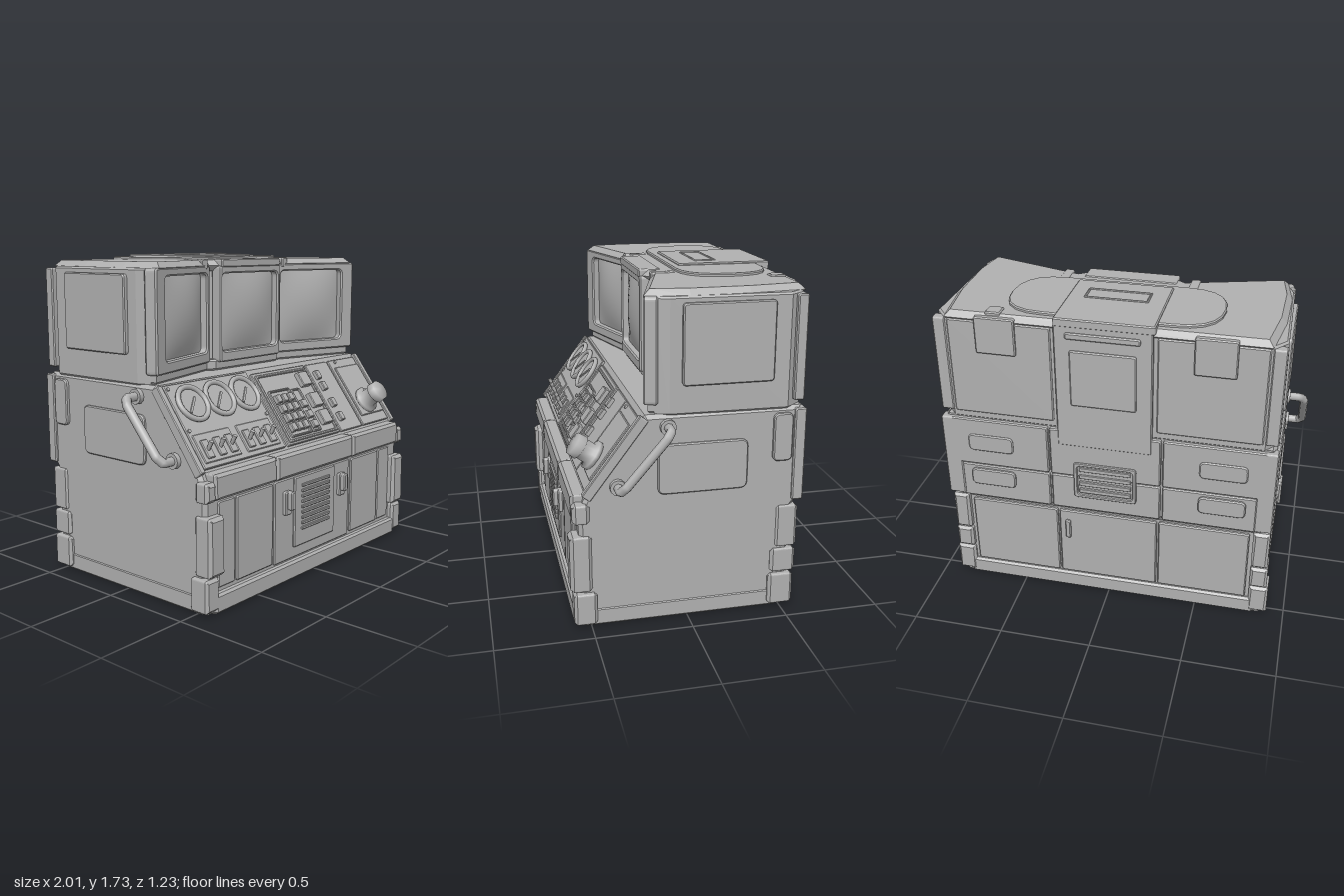
import * as THREE from 'three';

const metal = new THREE.MeshStandardMaterial({ color: 0xb0b0b0 });
metal.name = 'grey metal';

function add(parent, name, geometry) {
  const mesh = new THREE.Mesh(geometry, metal);
  mesh.name = name;
  parent.add(mesh);
  return mesh;
}
function group(parent, name, x = 0, y = 0, z = 0, rx = 0, ry = 0) {
  const g = new THREE.Group();
  g.name = name;
  g.position.set(x, y, z);
  g.rotation.set(rx, ry, 0);
  parent.add(g);
  return g;
}
const polygon = pts => new THREE.Shape(pts.map(p => new THREE.Vector2(p[0], p[1])));

function roundRect(x0, x1, y0, y1, r, Type = THREE.Shape) {
  const s = new Type();
  s.moveTo(x0 + r, y0).lineTo(x1 - r, y0).quadraticCurveTo(x1, y0, x1, y0 + r);
  s.lineTo(x1, y1 - r).quadraticCurveTo(x1, y1, x1 - r, y1);
  s.lineTo(x0 + r, y1).quadraticCurveTo(x0, y1, x0, y1 - r);
  s.lineTo(x0, y0 + r).quadraticCurveTo(x0, y0, x0 + r, y0);
  return s;
}
// Extrudes a shape from z0 to z1 with a chamfer that stays inside the outline
function slab(shape, z0, z1, b) {
  return new THREE.ExtrudeGeometry(shape, {
    depth: z1 - z0 - 2 * b, bevelEnabled: b > 0, bevelThickness: b, bevelSize: b,
    bevelOffset: -b, bevelSegments: 1, curveSegments: 5,
  }).translate(0, 0, z0 + b);
}
function plate(parent, name, xa, xb, y0, y1, z0, z1, r = 0.012, b = 0.006) {
  return add(parent, name, slab(roundRect(Math.min(xa, xb), Math.max(xa, xb), y0, y1, r), z0, z1, b));
}
function frame(parent, name, x0, x1, y0, y1, z0, z1, w, r = 0.02) {
  const s = roundRect(x0, x1, y0, y1, r);
  s.holes.push(roundRect(x0 + w, x1 - w, y0 + w, y1 - w, r, THREE.Path));
  return add(parent, name, slab(s, z0, z1, 0.004));
}
// Horizontal slab from a plan of [x, z] points
function planSlab(parent, name, pts, y0, y1, b) {
  return add(parent, name, slab(polygon(pts.map(([x, z]) => [x, -z])), y0, y1, b).rotateX(-Math.PI / 2));
}
const mirrored = half => [...half, ...half.map(([x, z]) => [-x, z]).reverse()];

// Curved screen in a deep bezel, front of the bezel at local z = 0
function monitor(parent, name, x, z, turn, halfW, holeX, holeW) {
  const g = group(parent, name, x, 1.415, z, 0, turn);
  const s = roundRect(-halfW, halfW, -0.27, 0.255, 0.02);
  s.holes.push(roundRect(holeX - holeW, holeX + holeW, -0.21, 0.212, 0.03, THREE.Path));
  add(g, 'bezel', slab(s, -0.07, 0, 0.008));
  const screen = new THREE.PlaneGeometry(holeW * 2, 0.43, 12, 12), p = screen.attributes.position;
  for (let i = 0; i < p.count; i++) {
    const u = p.getX(i) / holeW, v = p.getY(i) / 0.215;
    p.setZ(i, 0.04 * (1 - u * u) * (1 - v * v) - 0.042);
  }
  screen.computeVertexNormals();
  add(g, 'screen', screen.translate(holeX, 0, 0));
}

function buildCabinet(root) {
  const g = group(root, 'cabinet');
  // Side profile as [z, y], extruded across the width
  const profile = [[-0.54, 0], [0.55, 0], [0.555, 0.62], [0.52, 0.7], [0.22, 1.1], [-0.575, 1.1], [-0.575, 0.6], [-0.54, 0.55]];
  add(g, 'cabinetBody', slab(polygon(profile.map(([z, y]) => [-z, y])), -0.88, 0.88, 0.02).rotateY(Math.PI / 2));
  planSlab(g, 'plinth', mirrored([[0.82, 0.585], [0.885, 0.53], [0.885, -0.48], [0.82, -0.56]]), 0, 0.1, 0.012);
  // Front lip in three lengths
  for (const [a, b] of [[-0.84, -0.36], [-0.355, 0.345], [0.35, 0.84]]) plate(g, 'frontLip', a, b, 0.575, 0.705, 0.48, 0.588, 0.01, 0.015);
  // Front doors and vent
  plate(g, 'centreDoor', -0.35, 0.345, 0.11, 0.565, 0.53, 0.562);
  plate(g, 'ventPanel', -0.19, 0.185, 0.17, 0.56, 0.55, 0.574);
  for (let i = 0; i < 9; i++) plate(g, 'ventSlat', -0.13, 0.125, 0.26 + i * 0.03, 0.275 + i * 0.03, 0.565, 0.585, 0.003, 0.003);
  for (const s of [-1, 1]) {
    plate(g, 'sideDoor', s * 0.365, s * 0.655, 0.12, 0.56, 0.53, 0.564);
    plate(g, 'outerPanel', s * 0.665, s * 0.79, 0.12, 0.56, 0.53, 0.56);
    plate(g, 'doorHandle', s * 0.225, s * 0.28, 0.37, 0.5, 0.55, 0.585);
    plate(g, 'doorLatch', s * 0.23, s * 0.265, 0.4, 0.5, 0.57, 0.612);
    // Corner guards and feet, front and back
    plate(g, 'frontFoot', s * 0.81, s * 0.905, 0.02, 0.19, 0.47, 0.588, 0.012, 0.015);
    plate(g, 'frontGuard', s * 0.785, s * 0.895, 0.2, 0.5, 0.49, 0.603, 0.012, 0.018);
    plate(g, 'lipCorner', s * 0.83, s * 0.9, 0.57, 0.67, 0.5, 0.588, 0.012, 0.018);
    plate(g, 'backFoot', s * 0.8, s * 0.905, 0.02, 0.19, -0.565, -0.43, 0.012, 0.015);
    plate(g, 'backGuard', s * 0.8, s * 0.895, 0.2, 0.33, -0.575, -0.44, 0.012, 0.015);
    plate(g, 'backGuardUpper', s * 0.8, s * 0.89, 0.34, 0.57, -0.58, -0.46, 0.012, 0.015);
    // Details on the flanks
    const side = group(g, 'flank', 0, 0, 0, 0, s * Math.PI / 2);
    plate(side, 'sideHatch', -s * 0.16, s * 0.3, 0.69, 0.95, 0.87, 0.894, 0.04);
    plate(side, 'sideBracket', s * 0.43, s * 0.53, 0.82, 1.07, 0.87, 0.9, 0.03);
    plate(side, 'backEdgeStrip', s * 0.54, s * 0.6, 0.6, 1.09, 0.8, 0.895);
    // Grab handle
    const at = (x, t, out = 0) => new THREE.Vector3(s * x, 0.75 + 0.29 * t + out * 0.6, 0.36 - 0.25 * t + out * 0.8);
    const path = new THREE.CurvePath(), pts = [at(0.87, 0), at(0.96, 0), at(0.982, 0.1), at(0.982, 0.9), at(0.96, 1), at(0.87, 1)];
    for (let i = 0; i < 5; i++) path.add(new THREE.LineCurve3(pts[i], pts[i + 1]));
    add(g, 'grabHandle', new THREE.TubeGeometry(path, 50, 0.024, 8));
    for (const t of [0, 1]) {
      const c = at(0.89, t);
      add(g, 'handleMount', new THREE.CylinderGeometry(0.04, 0.04, 0.03, 12).rotateZ(Math.PI / 2).translate(c.x, c.y, c.z));
    }
  }
  // Back panels
  const back = group(g, 'cabinetBack', 0, 0, 0, 0, Math.PI);
  for (const [a, b] of [[-0.78, -0.285], [-0.275, 0.275], [0.285, 0.78]]) {
    plate(back, 'backDoor', a, b, 0.11, 0.54, 0.53, 0.557);
    plate(back, 'backPanel', a * 1.08, b * 1.08, 0.59, 0.8, 0.56, 0.592);
    plate(back, 'backPanelUpper', a * 1.08, b * 1.08, 0.81, 1.09, 0.56, 0.6);
  }
  plate(back, 'backDoorHandle', -0.24, -0.21, 0.36, 0.48, 0.55, 0.572);
  frame(back, 'backVentFrame', -0.17, 0.17, 0.68, 0.9, 0.58, 0.608, 0.02);
  for (let i = 0; i < 4; i++) plate(back, 'backVentSlat', -0.14, 0.14, 0.71 + i * 0.045, 0.735 + i * 0.045, 0.58, 0.606, 0.003, 0.003);
  for (const s of [-1, 1]) for (const y of [0.68, 0.9]) plate(back, 'backHatch', s * 0.5, s * 0.75, y, y + 0.1, 0.58, 0.608, 0.03);
}

function buildMonitors(root) {
  const g = group(root, 'monitorHousing');
  planSlab(g, 'housingBody', mirrored([[0.25, 0.045], [0.3, 0.01], [0.85, 0.17], [0.875, 0.1], [0.885, -0.5], [0.82, -0.58]]), 1.09, 1.67, 0.01);
  planSlab(g, 'housingSill', mirrored([[0.27, 0.085], [0.31, 0.055], [0.84, 0.2], [0.865, 0.1], [0.875, -0.5], [0.82, -0.575]]), 1.1, 1.16, 0.01);
  planSlab(g, 'roof', mirrored([[0.25, 0.1], [0.3, 0.065], [0.83, 0.22], [0.865, 0], [0.86, -0.3], [0.82, -0.59]]), 1.64, 1.7, 0.03);
  monitor(g, 'centreMonitor', 0, 0.115, 0, 0.262, -0.005, 0.24);
  for (const s of [-1, 1]) {
    monitor(g, 'sideMonitor', s * 0.575, 0.145, -s * 0.28, 0.295, -s * 0.03, 0.232);
    const side = group(g, 'housingSide', 0, 0, 0, 0, s * Math.PI / 2);
    plate(side, 'sidePanel', -s * 0.04, s * 0.42, 1.24, 1.64, 0.86, 0.9, 0.02);
    plate(side, 'rearStrip', s * 0.53, s * 0.585, 1.13, 1.66, 0.82, 0.888);
    plate(g, 'roofClip', s * 0.325, s * 0.375, 1.65, 1.705, -0.05, 0.08);
  }
  plate(g, 'centreVisor', -0.255, 0.25, 1.66, 1.705, 0, 0.12);
  // Raised oval and hatch on the roof
  const roof = group(g, 'roofDetails', 0, 0, 0, -Math.PI / 2);
  add(roof, 'roofOval', slab(roundRect(-0.56, 0.555, 0.06, 0.53, 0.23), 1.68, 1.716, 0.006));
  plate(roof, 'roofSpine', -0.26, 0.25, 0.1, 0.605, 1.68, 1.726);
  frame(roof, 'roofHatch', -0.17, 0.165, 0.21, 0.33, 1.71, 1.732, 0.012, 0.008);
  plate(roof, 'roofCap', 0.53, 0.61, 0.49, 0.57, 1.68, 1.708);
  // Rear spine and clips
  const back = group(g, 'housingBack', 0, 0, 0, 0, Math.PI);
  plate(back, 'rearSpine', -0.25, 0.25, 1.0, 1.72, 0.55, 0.603);
  plate(back, 'rearSpinePanel', -0.17, 0.17, 1.25, 1.56, 0.59, 0.614);
  plate(back, 'rearSpineGrip', -0.19, 0.19, 1.62, 1.655, 0.59, 0.614);
  for (const s of [-1, 1]) {
    plate(back, 'rearPanel', s * 0.27, s * 0.81, 1.13, 1.66, 0.56, 0.588);
    plate(back, 'rearClip', s * 0.45, s * 0.66, 1.49, 1.69, 0.57, 0.604);
  }
}

// Sloped console: local x across, local y up the slope, local z outward
function buildConsole(root) {
  const g = group(root, 'console', 0, 0.7, 0.52, -Math.atan2(0.3, 0.4));
  const v = y => (y - 0.7) * 1.25;
  const tile = (name, x0, x1, y0, y1, z0, z1, r = 0.008) => plate(g, name, x0, x1, v(y0), v(y1), z0, z1, r, 0.004);
  const rim = (name, x0, x1, y0, y1, z1, w) => frame(g, name, x0, x1, v(y0), v(y1), -0.01, z1, w, 0.01);
  tile('gaugePanel', -0.84, -0.2, 0.715, 1.09, -0.02, 0.016);
  tile('keyPanel', -0.175, 0.31, 0.715, 1.075, -0.02, 0.016);
  rim('keyPanelRim', -0.16, 0.295, 0.725, 1.06, 0.026, 0.015);
  tile('indicatorPanel', 0.33, 0.55, 0.715, 1.075, -0.02, 0.012);
  tile('knobPanel', 0.56, 0.84, 0.715, 1.075, -0.02, 0.014);
  tile('knobPlate', 0.585, 0.83, 0.76, 1.03, 0, 0.024);
  for (const s of [-1, 1]) tile('edgeRail', s * 0.85, s * 0.885, 0.7, 1.09, -0.03, 0.022);
  // Dials
  for (const x of [-0.71, -0.51, -0.31]) {
    const dial = group(g, 'dial', x, v(0.99), 0.016);
    add(dial, 'dialFace', new THREE.CylinderGeometry(0.095, 0.095, 0.02, 28).rotateX(Math.PI / 2));
    add(dial, 'dialRing', new THREE.TorusGeometry(0.093, 0.014, 8, 32).translate(0, 0, 0.012));
    add(dial, 'needle', new THREE.BoxGeometry(0.11, 0.012, 0.008).rotateZ(0.8).translate(-0.01, -0.01, 0.013));
  }
  // Toggle switches
  tile('switchPlate', -0.82, -0.55, 0.735, 0.86, 0, 0.022);
  tile('switchPlate', -0.5, -0.23, 0.735, 0.86, 0, 0.022);
  for (const x of [-0.77, -0.68, -0.595, -0.455, -0.37, -0.28]) {
    tile('switchBase', x - 0.025, x + 0.025, 0.75, 0.83, 0.01, 0.032);
    add(g, 'switchLever', new THREE.CylinderGeometry(0.013, 0.009, 0.05, 8).rotateX(1.1).translate(x, v(0.795), 0.05));
  }
  // Keypad and buttons
  rim('keypadRim', -0.125, 0.06, 0.745, 0.975, 0.03, 0.01);
  for (let c = 0; c < 3; c++) for (let r = 0; r < 4; r++) {
    const x = -0.087 + c * 0.054, y = 0.787 + r * 0.047;
    tile('key', x - 0.021, x + 0.021, y - 0.019, y + 0.019, 0.01, 0.046);
  }
  rim('functionRim', 0.07, 0.15, 0.745, 0.965, 0.028, 0.01);
  for (const y of [0.78, 0.83, 0.885]) tile('functionKey', 0.085, 0.135, y - 0.018, y + 0.018, 0.01, 0.04);
  for (const y of [0.8, 0.89, 1.0]) tile('largeButton', 0.18, 0.265, y - 0.035, y + 0.035, 0.01, 0.045);
  for (const y of [0.785, 0.86, 0.95, 1.01]) tile('indicator', 0.36, 0.4, y - 0.022, y + 0.022, 0, 0.035);
  // Control knob
  const profile = [[0, 0], [0.08, 0], [0.08, 0.025], [0.055, 0.035], [0.055, 0.085], [0.064, 0.09], [0.06, 0.135], [0, 0.14]];
  add(g, 'controlKnob', new THREE.LatheGeometry(profile.map(p => new THREE.Vector2(...p)), 14)
    .rotateX(Math.PI / 2).translate(0.69, v(0.83), 0.02));
  for (const [x, y] of [[0.62, 1.06], [-0.82, 1.07], [-0.82, 0.88], [-0.22, 0.88]])
    add(g, 'bolt', new THREE.CylinderGeometry(0.01, 0.01, 0.012, 8).rotateX(Math.PI / 2).translate(x, v(y), 0.018));
}

export function createModel() {
  const root = new THREE.Group();
  root.name = 'controlConsole';
  buildCabinet(root);
  buildMonitors(root);
  buildConsole(root);
  return root;
}
